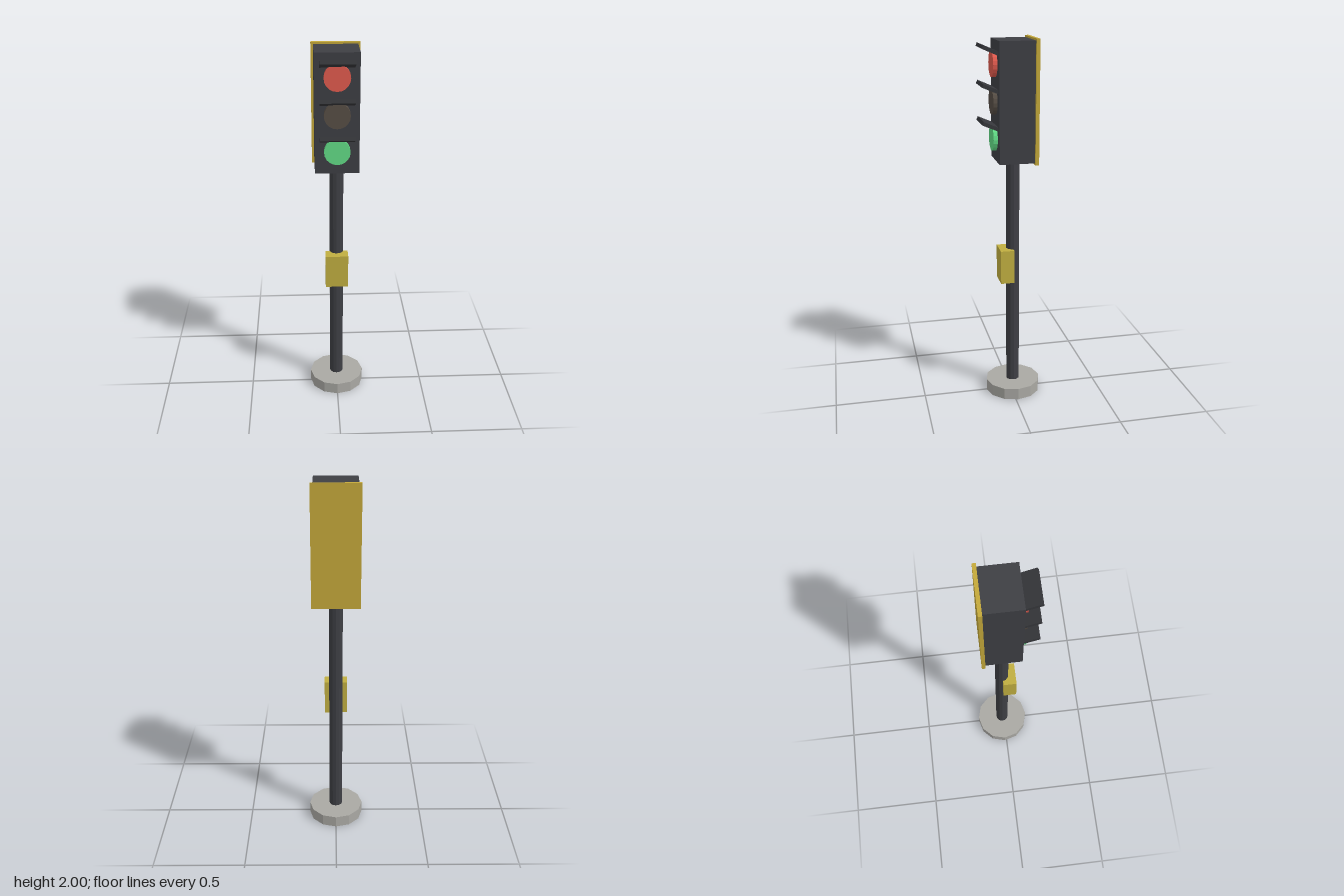
import * as THREE from 'three';

const mat = (color) => new THREE.MeshStandardMaterial({ color, flatShading: true });

export function createModel() {
  const model = new THREE.Group();
  model.name = 'trafficLight';

  const dark = mat(0x3e3f44);
  const visorDark = mat(0x36373b);
  const backYellow = mat(0xc4a83a);
  const boxYellow = mat(0xc0ae40);

  const add = (name, geometry, material, x, y, z) => {
    const mesh = new THREE.Mesh(geometry, material);
    mesh.name = name;
    mesh.position.set(x, y, z);
    model.add(mesh);
    return mesh;
  };
  const box = (w, h, d) => new THREE.BoxGeometry(w, h, d);

  // Foot and pole
  const poleZ = -0.0125;
  add('base', new THREE.CylinderGeometry(0.153, 0.153, 0.065, 12), mat(0xa9a8a3), 0, 0.0325, poleZ);
  add('pole', new THREE.CylinderGeometry(0.037, 0.037, 1.32, 12), dark, 0, 0.71, poleZ);

  // Control box on the front of the pole
  add('controlBox', box(0.124, 0.188, 0.074), boxYellow, 0, 0.771, 0.028);

  // Signal head and its back plate
  add('housing', box(0.23, 0.628, 0.188), dark, 0, 1.676, -0.013);
  add('backPlate', box(0.255, 0.647, 0.019), backYellow, 0, 1.6765, -0.1165);

  // Three lamps, each a thick disc under a tilted visor
  const lensGeometry = new THREE.CylinderGeometry(0.068, 0.068, 0.03, 20).rotateX(Math.PI / 2);
  const visorGeometry = box(0.178, 0.019, 0.096);
  const lamps = [['red', 0xe25b4e, 1.868], ['amber', 0x574e45, 1.676], ['green', 0x62dc86, 1.484]];
  for (const [name, color, y] of lamps) {
    add(name + 'Lens', lensGeometry, mat(color), 0, y, 0.088);
    add(name + 'Visor', visorGeometry, visorDark, 0, y + 0.074, 0.118).rotation.x = -0.4;
  }
  return model;
}
